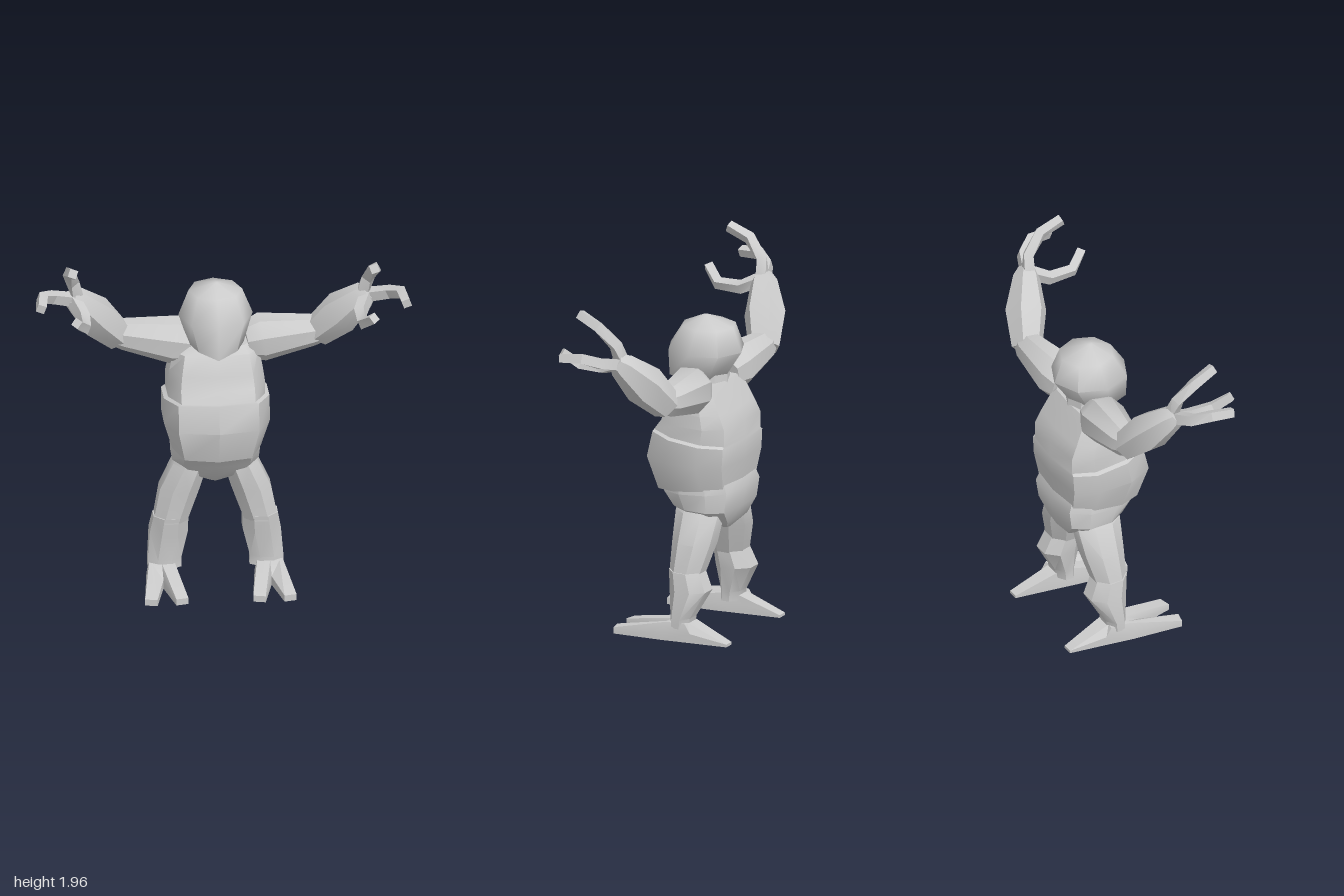
import * as THREE from 'three';
import { toCreasedNormals } from 'three/addons/utils/BufferGeometryUtils.js';

const V = (x, y, z) => new THREE.Vector3(x, y, z);
const MID = -0.018; // body axis
const material = new THREE.MeshStandardMaterial({ color: 0xcccccc });

// Closed skin through rings that run right-handed around the direction of travel
function loft(name, rings, crease = 0.6, mirror = false) {
  const pos = [], idx = [], n = rings[0].length, last = (rings.length - 1) * n;
  const push = (p) => pos.push(mirror ? -p.x : p.x, p.y, p.z);
  const tri = (a, b, c) => (mirror ? idx.push(a, c, b) : idx.push(a, b, c));
  const centre = (ring) => ring.reduce((s, p) => s.add(p), V(0, 0, 0)).divideScalar(n);
  rings.flat().forEach(push);
  push(centre(rings[0]));
  push(centre(rings[rings.length - 1]));
  for (let j = 0; j < n; j++) {
    const k = (j + 1) % n;
    for (let r = 0; r < last; r += n) {
      tri(r + j, r + k, r + n + k);
      tri(r + j, r + n + k, r + n + j);
    }
    tri(last + n, k, j);
    tri(last + n + 1, last + j, last + k);
  }
  const g = new THREE.BufferGeometry();
  g.setAttribute('position', new THREE.Float32BufferAttribute(pos, 3));
  g.setIndex(idx);
  const mesh = new THREE.Mesh(toCreasedNormals(g, crease), material);
  mesh.name = name;
  return mesh;
}

// Torso cross-section: half width w, front and back depth, slope lifts the front
const HALF = [[0, 1], [0.76, 0.86], [1, 0.3], [1, -0.45], [0.76, -0.92], [0, -1]];
const SECTION = [...HALF, ...HALF.slice(1, -1).reverse().map(([x, z]) => [-x, z])];
const bodyRing = ([y, w, front, back, slope = 0]) => SECTION.map(([u, v]) =>
  V(MID + u * w, y + slope * v, (front + back) / 2 + v * (front - back) / 2));

// Horizontal oval ring of n corners, the first one turned from the front
function ovalRing(x, y, halfX, front, back, n, turn = 0) {
  return Array.from({ length: n }, (_, i) => {
    const a = turn + (i / n) * Math.PI * 2;
    return V(x + Math.sin(a) * halfX, y, (front + back) / 2 + Math.cos(a) * (front - back) / 2);
  });
}

// Rings of n sides along a list of [x, y, z, radius]
function limbRings(path, n, turn = 0) {
  const pts = path.map((p) => V(p[0], p[1], p[2]));
  return pts.map((p, i) => {
    const t = pts[Math.min(i + 1, pts.length - 1)].clone().sub(pts[Math.max(i - 1, 0)]).normalize();
    const side = V(-0.35, 1, 0.1).cross(t).normalize();
    const up = t.clone().cross(side);
    return Array.from({ length: n }, (_, k) => {
      const a = turn + (k / n) * Math.PI * 2;
      return p.clone().addScaledVector(side, Math.cos(a) * path[i][3])
        .addScaledVector(up, Math.sin(a) * path[i][3]);
    });
  });
}

const FINGERS = [
  [[0.755, 1.69, 0.0], [0.785, 1.79, 0.02], [0.812, 1.885, 0.11], [0.8, 1.935, 0.23]],
  [[0.79, 1.685, 0.01], [0.895, 1.72, 0.05], [0.955, 1.755, 0.13], [0.97, 1.745, 0.25]],
  [[0.775, 1.68, 0.02], [0.735, 1.632, 0.12], [0.738, 1.63, 0.26], [0.79, 1.7, 0.345]],
];

function arm(mirror) {
  const group = new THREE.Group();
  group.name = mirror ? 'rightArm' : 'leftArm';
  // The left arm hangs slightly lower towards the hand
  const drop = (rings) => {
    if (!mirror) rings.flat().forEach((p) => { p.y -= 0.06 * Math.max(0, p.x - 0.25); });
    return rings;
  };
  group.add(loft('upperArm', drop(limbRings([
    [0.15, 1.355, -0.11, 0.1], [0.23, 1.37, -0.115, 0.13],
    [0.5, 1.405, -0.135, 0.086], [0.565, 1.415, -0.13, 0.065]], 8, Math.PI / 8)), 0.6, mirror));
  group.add(loft('forearm', drop(limbRings([
    [0.525, 1.395, -0.14, 0.085], [0.65, 1.54, -0.075, 0.113],
    [0.765, 1.675, -0.005, 0.072], [0.795, 1.705, 0.015, 0.045]], 6)), 0.6, mirror));
  for (const f of FINGERS) {
    const path = f.map((p, i) => [...p, 0.041 - 0.003 * i]);
    group.add(loft('finger', drop(limbRings(path, 4, Math.PI / 4)), 0.5, mirror));
  }
  return group;
}

// Foot outline [x, z, top height]: two toes in front, one behind
const FOOT = [
  [0, 0.06, 0.05], [0.05, 0.275, 0.035], [0.115, 0.26, 0.035], [0.085, -0.02, 0.05],
  [0.06, -0.17, 0.05], [0.028, -0.375, 0.015], [-0.028, -0.375, 0.015], [-0.06, -0.17, 0.05],
  [-0.085, -0.02, 0.05], [-0.115, 0.26, 0.035], [-0.05, 0.275, 0.035],
];

function leg(mirror) {
  const group = new THREE.Group();
  group.name = mirror ? 'rightLeg' : 'leftLeg';
  group.position.x = MID;
  // Shin and thigh: [outer x, inner x, y, front, back]
  const ring = ([outer, inner, y, front, back]) =>
    ovalRing((outer + inner) / 2, y, (outer - inner) / 2 * 1.08, front + 0.008, back - 0.008, 8, Math.PI / 8);
  group.add(loft('shin', [
    [0.36, 0.18, 0.07, -0.035, -0.14], [0.36, 0.182, 0.12, -0.035, -0.145],
    [0.348, 0.145, 0.27, -0.015, -0.23], [0.33, 0.145, 0.37, -0.005, -0.185]].map(ring), 0.6, mirror));
  group.add(loft('thigh', [
    [0.33, 0.15, 0.34, -0.008, -0.18], [0.295, 0.085, 0.52, 0.0, -0.23],
    [0.225, 0.04, 0.67, 0.015, -0.245], [0.18, 0.04, 0.73, 0, -0.22]].map(ring), 0.6, mirror));
  const c = 0.287;
  const ankle = FOOT.map(([x, z]) => V(c + THREE.MathUtils.clamp(x, -0.07, 0.07),
    0.1, THREE.MathUtils.clamp(z, -0.14, -0.035)));
  group.add(loft('foot', [
    FOOT.map(([x, z]) => V(c + x, 0, z)),
    FOOT.map(([x, z, h]) => V(c + x, h, z)), ankle], 0.5, mirror));
  return group;
}

export function createModel() {
  const model = new THREE.Group();
  model.name = 'creature';

  // Trunk: the belly steps out slightly at the sides below the chest
  model.add(loft('hips', [
    [0.56, 0.03, -0.07, -0.22], [0.615, 0.14, 0.0, -0.275],
    [0.69, 0.23, 0.05, -0.297], [0.78, 0.235, 0.11, -0.315, -0.02],
    [0.86, 0.22, 0.1, -0.29]].map(bodyRing)));
  model.add(loft('torso', [
    [0.795, 0.235, 0.145, -0.295, -0.03], [0.95, 0.282, 0.2, -0.31],
    [1.075, 0.28, 0.165, -0.315, 0.02], [1.085, 0.258, 0.163, -0.312, 0.02],
    [1.16, 0.258, 0.117, -0.31], [1.23, 0.248, 0.088, -0.275],
    [1.335, 0.225, 0.045, -0.22], [1.37, 0.19, 0.0, -0.2]].map(bodyRing)));
  model.add(loft('neck', [
    ovalRing(MID, 1.32, 0.125, 0.02, -0.21, 8), ovalRing(MID, 1.44, 0.11, 0.02, -0.2, 8)]));

  // Head: eight-sided, jaw pushed forward and down
  const headRings = [
    [1.36, 0.08, 0.08, -0.12], [1.385, 0.145, 0.137, -0.19], [1.535, 0.197, 0.138, -0.288],
    [1.665, 0.143, 0.055, -0.24], [1.717, 0.012, -0.06, -0.085],
  ].map(([y, w, f, b]) => ovalRing(MID, y, w, f, b, 8));
  headRings[1][0].y = 1.352;
  model.add(loft('head', headRings, 1.1));

  for (const mirror of [false, true]) model.add(arm(mirror), leg(mirror));
  return model;
}
